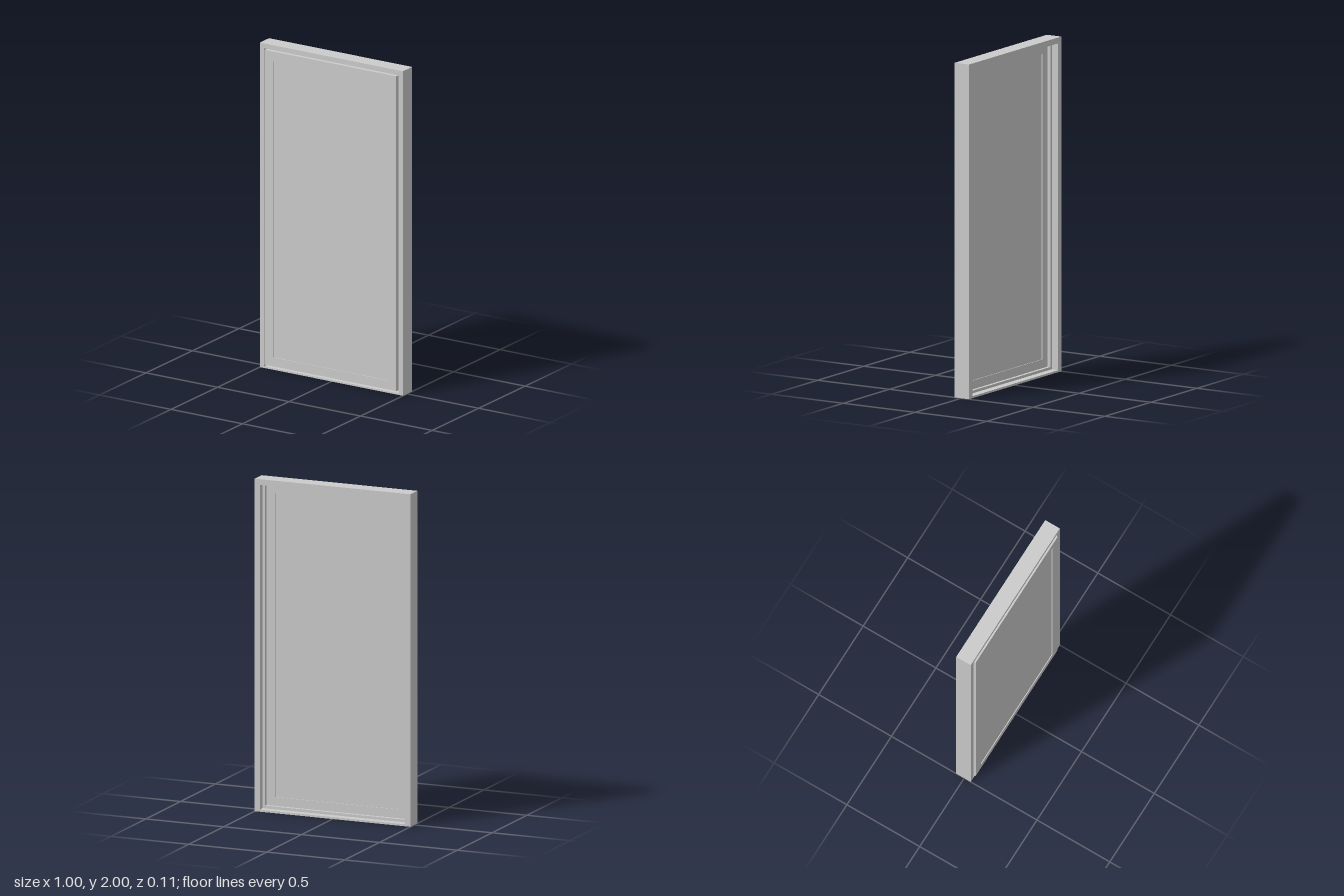
import * as THREE from 'three';

const material = new THREE.MeshStandardMaterial({ color: 0xcccccc });

function add(group, name, geometry) {
  const mesh = new THREE.Mesh(geometry, material);
  mesh.name = name;
  group.add(mesh);
  return mesh;
}

function polygon(points) {
  return new THREE.Shape(points.map(([x, y]) => new THREE.Vector2(x, y)));
}

// Extrudes a front-plane shape between two depths
function slab(shape, z0, z1) {
  const geometry = new THREE.ExtrudeGeometry(shape, { depth: z1 - z0, bevelEnabled: false });
  return geometry.translate(0, 0, z0);
}

function rectangle(halfWidth, bottom, top) {
  return [[-halfWidth, bottom], [halfWidth, bottom], [halfWidth, top], [-halfWidth, top]];
}

// Two jambs and a head in one piece, open at the floor
function portal(width) {
  const inner = 0.5 - width, top = 2 - width;
  return polygon([[-0.5, 0], [-inner, 0], [-inner, top], [inner, top],
    [inner, 0], [0.5, 0], [0.5, 2], [-0.5, 2]]);
}

export function createModel() {
  const model = new THREE.Group();
  model.name = 'framedDoor';

  // Fixed frame: stepped lining from back to front, each layer with its own width
  const frame = new THREE.Group();
  frame.name = 'outerFrame';
  model.add(frame);
  const layers = [
    ['backLip', -0.055, -0.035, 0.035],
    ['lining', -0.035, -0.008, 0.028],
    ['doorStop', -0.008, 0.012, 0.045],
    ['frontLining', 0.012, 0.045, 0.03],
  ];
  for (const [name, z0, z1, width] of layers) add(frame, name, slab(portal(width), z0, z1));

  // Low threshold with a raised stop and a shallow channel underneath
  const section = polygon([
    [-0.055, 0], [-0.04, 0], [-0.04, 0.006], [-0.012, 0.006], [-0.012, 0],
    [0.002, 0], [0.002, 0.006], [0.032, 0.006], [0.032, 0], [0.045, 0],
    [0.045, 0.01], [0.012, 0.01], [0.012, 0.028], [-0.008, 0.028],
    [-0.008, 0.012], [-0.055, 0.012],
  ]);
  const threshold = new THREE.ExtrudeGeometry(section, { depth: 0.944, bevelEnabled: false });
  threshold.translate(0, 0, -0.472).rotateY(-Math.PI / 2).scale(1, 1, 1);
  add(frame, 'threshold', threshold);

  // Door leaf: border with a rectangular opening, standing slightly proud of the frame
  const border = polygon(rectangle(0.46, 0.025, 1.965));
  border.holes.push(polygon(rectangle(0.4, 0.08, 1.905)));
  add(model, 'leafBorder', slab(border, 0.013, 0.055));

  // Panel set just inside both faces of the border
  add(model, 'panel', slab(polygon(rectangle(0.4, 0.08, 1.905)), 0.018, 0.05));

  return model;
}
